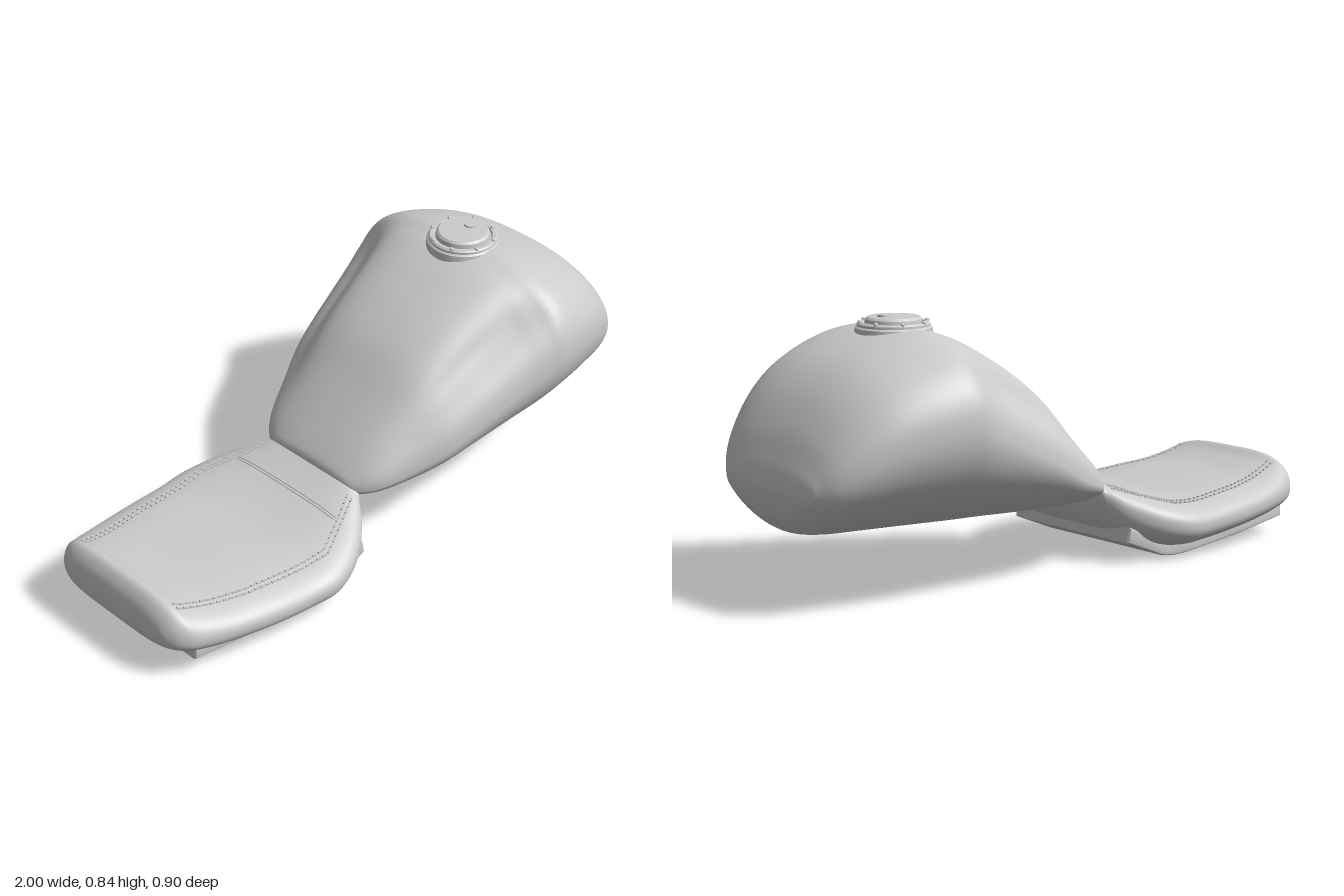
import * as THREE from 'three';
import { mergeGeometries, toCreasedNormals } from 'three/addons/utils/BufferGeometryUtils.js';

// Smoothly resample rows of [x, top, bottom, halfWidth, widestY, scoop]
function resample(rows, steps) {
  const out = [];
  for (let i = 0; i < rows.length - 1; i++) {
    const [a, b, c, d] = [rows[Math.max(i - 1, 0)], rows[i], rows[i + 1], rows[Math.min(i + 2, rows.length - 1)]];
    for (let s = 0; s < steps; s++) {
      const t = s / steps;
      out.push(b.map((v, k) => v + 0.5 * t * (c[k] - a[k]
        + t * (2 * a[k] - 5 * v + 4 * c[k] - d[k] + t * (3 * (v - c[k]) + d[k] - a[k])))));
    }
  }
  out.push(rows[rows.length - 1]);
  return out;
}

// Superellipse sections lofted along x; the scoop presses in the upper flanks
function loft(rows, upper, lower, seg = 96) {
  const pos = [], index = [];
  rows.forEach(([x, top, bottom, w, mid, scoop]) => {
    for (let j = 0; j < seg; j++) {
      const a = (j / seg) * Math.PI * 2, c = Math.cos(a), s = Math.sin(a);
      const [nz, ny] = s >= 0 ? upper : lower;
      const tilt = Math.atan2(s, Math.abs(c));
      const press = 1 - scoop * Math.exp(-(((tilt - 0.62) / 0.32) ** 2));
      const z = Math.sign(c) * w * Math.abs(c) ** (2 / nz) * press;
      const h = Math.abs(s) ** (2 / ny) * press;
      pos.push(x, s >= 0 ? mid + (top - mid) * h : mid - (mid - bottom) * h, z);
    }
  });
  for (let i = 0; i < rows.length - 1; i++) {
    for (let j = 0; j < seg; j++) {
      const k = (j + 1) % seg, p = i * seg, q = p + seg;
      index.push(p + j, q + j, q + k, p + j, q + k, p + k);
    }
  }
  const g = new THREE.BufferGeometry();
  g.setAttribute('position', new THREE.Float32BufferAttribute(pos, 3));
  g.setIndex(index);
  g.computeVertexNormals();
  return g;
}

export function createModel() {
  const model = new THREE.Group();
  const grey = new THREE.MeshStandardMaterial({ color: 0xcccccc });
  grey.name = 'light grey';
  const add = (name, geometry, parent = model) => {
    const mesh = new THREE.Mesh(geometry, grey);
    mesh.name = name;
    parent.add(mesh);
    return mesh;
  };

  // Fuel tank: teardrop body with knee scoops
  const tankRows = [
    [-0.18, 0.25, 0.25, 0, 0.25, 0],
    [-0.177, 0.28, 0.222, 0.15, 0.245, 0],
    [-0.155, 0.312, 0.203, 0.21, 0.245, 0],
    [-0.1, 0.374, 0.187, 0.262, 0.265, 0.01],
    [0, 0.482, 0.183, 0.312, 0.302, 0.05],
    [0.1, 0.589, 0.185, 0.358, 0.35, 0.1],
    [0.2, 0.666, 0.188, 0.385, 0.4, 0.13],
    [0.3, 0.727, 0.192, 0.407, 0.445, 0.135],
    [0.4, 0.778, 0.195, 0.428, 0.49, 0.11],
    [0.47, 0.8, 0.198, 0.443, 0.52, 0.055],
    [0.54, 0.81, 0.201, 0.45, 0.545, 0],
    [0.65, 0.785, 0.206, 0.43, 0.535, 0],
    [0.77, 0.73, 0.211, 0.392, 0.505, 0],
    [0.86, 0.652, 0.216, 0.35, 0.46, 0],
    [0.93, 0.552, 0.231, 0.3, 0.415, 0],
    [0.97, 0.467, 0.271, 0.247, 0.385, 0],
    [0.99, 0.415, 0.32, 0.19, 0.37, 0],
    [1, 0.37, 0.37, 0, 0.37, 0],
  ];
  add('fuelTank', loft(resample(tankRows, 5), [2.4, 2.4], [1.9, 1.9]));

  // Filler cap: neck, flange, lid, ring of screws and lock
  const cap = new THREE.Group();
  cap.name = 'fillerCap';
  cap.position.set(0.52, 0, 0);
  model.add(cap);
  const capProfile = [[0.122, 0.77], [0.118, 0.803], [0.112, 0.808], [0.112, 0.815], [0.107, 0.82],
    [0.096, 0.82], [0.093, 0.814], [0.089, 0.814], [0.087, 0.829], [0.08, 0.836], [0, 0.839]];
  add('capBody', toCreasedNormals(new THREE.LatheGeometry(
    capProfile.map(([r, y]) => new THREE.Vector2(r, y)), 64), 0.6), cap);
  const screws = [];
  for (let i = 0; i < 8; i++) {
    const a = (i + 0.5) * Math.PI / 4;
    screws.push(new THREE.SphereGeometry(0.007, 10, 6).translate(Math.cos(a) * 0.105, 0.821, Math.sin(a) * 0.105));
  }
  add('capScrews', mergeGeometries(screws), cap);
  add('capLock', new THREE.CylinderGeometry(0.02, 0.022, 0.01, 24).translate(0.035, 0.839, 0), cap);

  // Seat cushion: flat-topped, dished, with a raised rear lip
  const seatRows = [
    [-1, 0.15, 0.15, 0, 0.15, 0],
    [-0.997, 0.185, 0.122, 0.19, 0.155, 0],
    [-0.982, 0.232, 0.1, 0.25, 0.155, 0],
    [-0.95, 0.263, 0.085, 0.287, 0.15, 0],
    [-0.9, 0.24, 0.072, 0.311, 0.145, 0],
    [-0.8, 0.212, 0.055, 0.336, 0.135, 0],
    [-0.65, 0.198, 0.04, 0.36, 0.12, 0],
    [-0.5, 0.187, 0.027, 0.373, 0.112, 0],
    [-0.4, 0.196, 0.025, 0.377, 0.115, 0],
    [-0.3, 0.219, 0.045, 0.342, 0.135, 0],
    [-0.22, 0.247, 0.085, 0.283, 0.165, 0],
    [-0.17, 0.268, 0.142, 0.225, 0.205, 0],
    [-0.147, 0.275, 0.205, 0.175, 0.24, 0],
    [-0.14, 0.255, 0.255, 0, 0.255, 0],
  ];
  const seat = resample(seatRows, 6);
  add('seatCushion', loft(seat, [3.7, 2.2], [4.2, 2.4]));

  // Height of the cushion top, used to lay the stitches
  const seatTop = (x, z) => {
    const i = Math.max(1, seat.findIndex((r) => r[0] >= x));
    const t = (x - seat[i - 1][0]) / (seat[i][0] - seat[i - 1][0]);
    const [, top, , w, mid] = seat[i].map((v, k) => THREE.MathUtils.lerp(seat[i - 1][k], v, t));
    return mid + (top - mid) * Math.max(0, 1 - (Math.abs(z) / w) ** 3.7) ** (1 / 2.2);
  };

  // Double rows of stitching along both sides
  const stitches = [];
  const path = [[-0.93, 0.222], [-0.69, 0.272], [-0.385, 0.3], [-0.185, 0.205]];
  const forward = new THREE.Vector3(1, 0, 0);
  for (const side of [-1, 1]) for (const inset of [0, 0.018]) {
    for (let i = 0; i < path.length - 1; i++) {
      const [x0, z0] = path[i], [x1, z1] = path[i + 1];
      const count = Math.round(Math.hypot(x1 - x0, z1 - z0) / 0.022);
      const point = (t) => {
        const x = x0 + (x1 - x0) * t, z = side * (z0 + (z1 - z0) * t - inset);
        return new THREE.Vector3(x, seatTop(x, z) + 0.002, z);
      };
      for (let k = 0; k < count; k++) {
        const a = point(k / count), b = point((k + 0.7) / count);
        const dir = b.clone().sub(a), length = dir.length();
        stitches.push(new THREE.BoxGeometry(length, 0.006, 0.006)
          .applyQuaternion(new THREE.Quaternion().setFromUnitVectors(forward, dir.normalize()))
          .translate(...a.add(b).multiplyScalar(0.5).toArray()));
      }
    }
  }
  add('seatStitching', mergeGeometries(stitches));

  // Cross seam with twin piping near the front of the seat
  for (const x of [-0.284, -0.275]) {
    const points = [];
    for (let i = 0; i <= 10; i++) {
      const z = -0.225 + i * 0.045;
      points.push(new THREE.Vector3(x, seatTop(x, z), z));
    }
    add('seatCrossSeam', new THREE.TubeGeometry(new THREE.CatmullRomCurve3(points), 20, 0.003, 6));
  }

  // Seat pan: bent plate under the cushion
  const pan = new THREE.Shape();
  pan.moveTo(-0.91, 0.064);
  pan.lineTo(-0.7, 0.03);
  pan.lineTo(-0.5, 0.009);
  pan.quadraticCurveTo(-0.4, -0.003, -0.35, 0.014);
  pan.lineTo(-0.207, 0.072);
  pan.lineTo(-0.213, 0.114);
  pan.lineTo(-0.35, 0.06);
  pan.lineTo(-0.5, 0.05);
  pan.lineTo(-0.91, 0.1);
  pan.closePath();
  const panGeometry = new THREE.ExtrudeGeometry(pan, {
    depth: 0.536, bevelEnabled: true, bevelSize: 0.008, bevelThickness: 0.012, bevelSegments: 3,
    bevelOffset: -0.003, curveSegments: 10,
  }).translate(0, 0, -0.268);
  panGeometry.computeBoundingBox();
  panGeometry.translate(0, -panGeometry.boundingBox.min.y, 0);
  add('seatPan', toCreasedNormals(panGeometry, 0.5));

  return model;
}
